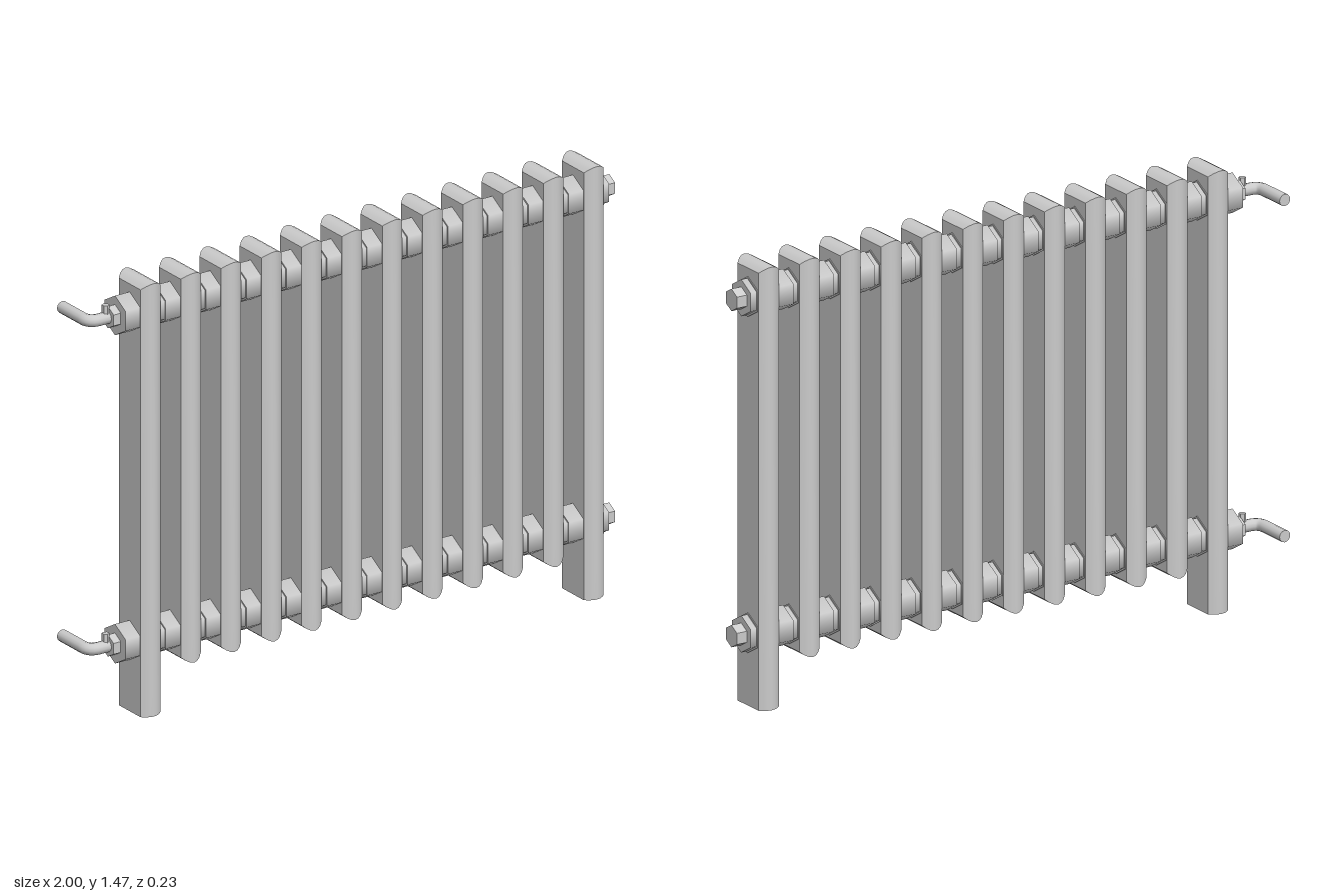
import * as THREE from 'three';
import { toCreasedNormals } from 'three/addons/utils/BufferGeometryUtils.js';

const Z = 0.036; // depth of the radiator's centre plane
const TOP = 1.47;
const COUNT = 12;
const FIRST = -0.789, STEP = 0.1535;
const HALF_WIDTH = 0.038, HALF_DEPTH = 0.079, BULGE = 0.019;

const material = new THREE.MeshStandardMaterial({ color: 0xcccccc });
const flatMaterial = new THREE.MeshStandardMaterial({ color: 0xcccccc, flatShading: true });

function add(parent, name, geometry, mat = material) {
  const mesh = new THREE.Mesh(geometry, mat);
  mesh.name = name;
  parent.add(mesh);
  return mesh;
}

// Rectangular plate whose rim bulges outward; the foot end may stay flat
function finGeometry(bottom, flatBottom) {
  const layers = 6, positions = [], index = [];
  for (let i = 0; i <= layers; i++) {
    const t = (i / layers) * 2 - 1;
    const inset = BULGE * t * t;
    const y0 = bottom + (flatBottom ? 0 : inset), y1 = TOP - inset;
    const d = HALF_DEPTH - inset;
    for (const [y, z] of [[y0, -d], [y1, -d], [y1, d], [y0, d]]) {
      positions.push(t * HALF_WIDTH, y, z);
    }
  }
  for (let i = 0; i < layers; i++) {
    for (let k = 0; k < 4; k++) {
      const a = i * 4 + k, b = i * 4 + ((k + 1) % 4);
      index.push(a, b, b + 4, a, b + 4, a + 4);
    }
  }
  const e = layers * 4;
  index.push(e, e + 1, e + 2, e, e + 2, e + 3, 2, 1, 0, 3, 2, 0);
  const geometry = new THREE.BufferGeometry();
  geometry.setAttribute('position', new THREE.Float32BufferAttribute(positions, 3));
  geometry.setIndex(index);
  return toCreasedNormals(geometry, 0.5);
}

// Hexagonal bar along x with a corner pointing up
function hexBar(parent, name, radius, x0, x1, y, mat) {
  const geometry = new THREE.CylinderGeometry(radius, radius, x1 - x0, 6, 1, false, Math.PI / 2);
  geometry.rotateZ(Math.PI / 2);
  add(parent, name, geometry, mat).position.set((x0 + x1) / 2, y, Z);
}

// Supply pipe that leaves along -x and turns toward the back
function supplyPipe(parent, y) {
  const x = -0.98, r = 0.02, bend = 0.035;
  const path = new THREE.CurvePath();
  const v = (px, pz) => new THREE.Vector3(px, y, pz);
  path.add(new THREE.LineCurve3(v(-0.89, Z), v(x + bend, Z)));
  path.add(new THREE.QuadraticBezierCurve3(v(x + bend, Z), v(x, Z), v(x, Z - bend)));
  path.add(new THREE.LineCurve3(v(x, Z - bend), v(x, -0.115)));
  add(parent, 'supplyPipe', new THREE.TubeGeometry(path, 28, r, 12));
  const cap = add(parent, 'pipeEnd', new THREE.CircleGeometry(r, 12));
  cap.rotation.y = Math.PI;
  cap.position.set(x, y, -0.115);
}

export function createModel() {
  const model = new THREE.Group();
  model.name = 'radiator';

  // Columns; the outer two reach the floor as legs
  const innerFin = finGeometry(0.147, false);
  const legFin = finGeometry(0, true);
  for (let i = 0; i < COUNT; i++) {
    const outer = i === 0 || i === COUNT - 1;
    const fin = add(model, outer ? 'legColumn' : 'column', outer ? legFin : innerFin);
    fin.position.set(FIRST + i * STEP, 0, Z);
  }

  // Upper and lower headers with their fittings
  for (const [name, y] of [['upperHeader', 1.357], ['lowerHeader', 0.242]]) {
    const header = new THREE.Group();
    header.name = name;
    model.add(header);

    hexBar(header, 'corePipe', 0.061, -0.86, 0.963, y);
    for (let i = 0; i < COUNT; i++) {
      const x = FIRST + i * STEP;
      hexBar(header, 'collar', 0.067, x - 0.094, x + 0.041, y);
    }
    hexBar(header, 'endPlug', 0.037, 0.955, 1.0, y, flatMaterial);
    hexBar(header, 'inletNut', 0.037, -0.91, -0.875, y, flatMaterial);
    supplyPipe(header, y);

    // Small bleed valve on top of the inlet
    const valve = add(header, 'bleedValve', new THREE.CylinderGeometry(0.012, 0.012, 0.036, 6), flatMaterial);
    valve.position.set(-0.919, y + 0.027, Z);
  }
  return model;
}
